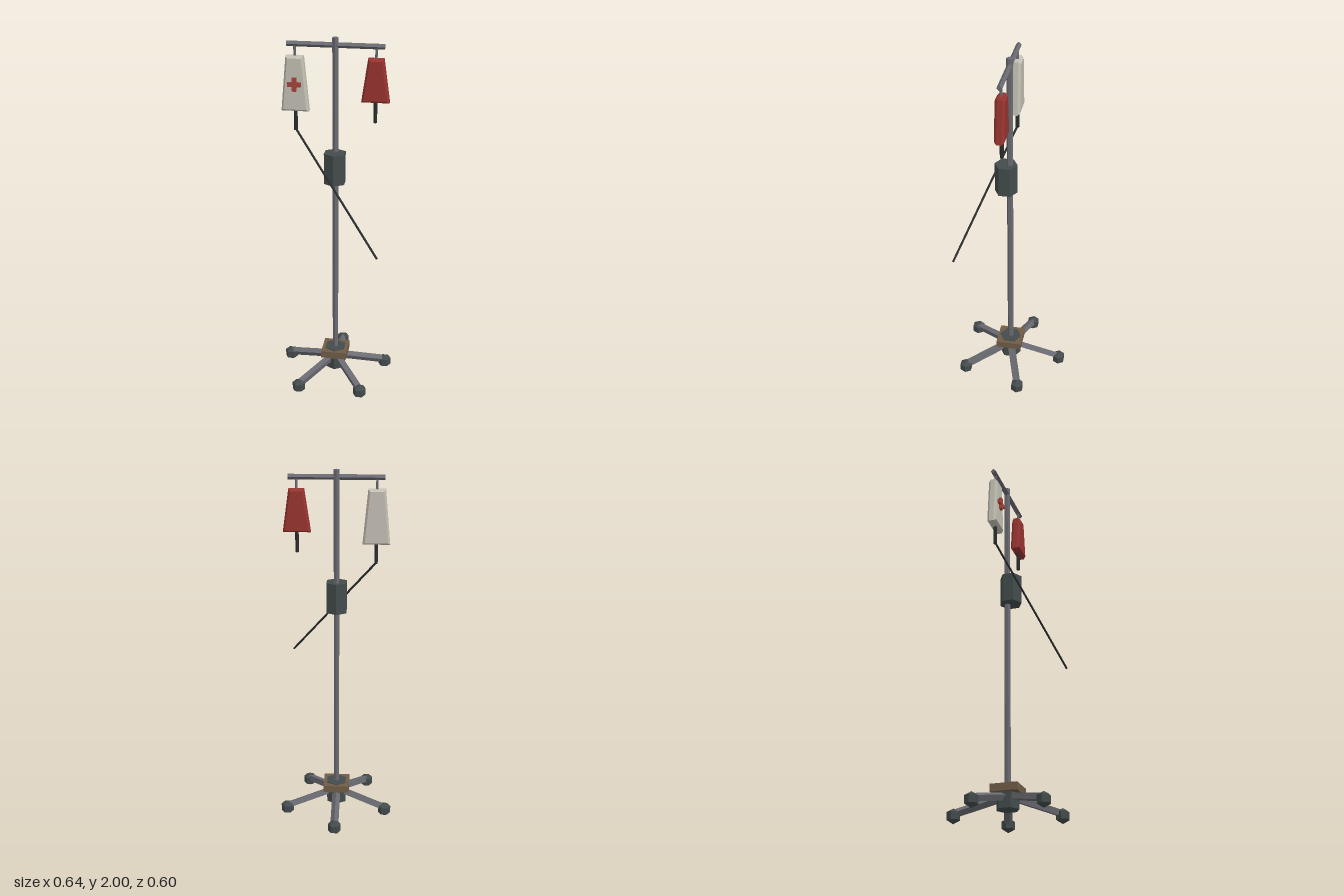
import * as THREE from 'three';

const mat = (name, color) => {
  const m = new THREE.MeshStandardMaterial({ color, flatShading: true });
  m.name = name;
  return m;
};

export function createModel() {
  const metal = mat('grey metal', 0x6a6b72);
  const dark = mat('dark plastic', 0x434b4c);
  const brown = mat('brown plate', 0x705c46);
  const cream = mat('cream bag', 0xc4c0b4);
  const red = mat('red bag', 0x983430);
  const crossRed = mat('cross red', 0xa8443c);
  const rubber = mat('black rubber', 0x2a2e2d);

  const model = new THREE.Group();
  model.name = 'dripStand';
  const Z = 0.027; // depth of the pole axis

  const add = (name, geometry, material, x = 0, y = 0, z = Z) => {
    const mesh = new THREE.Mesh(geometry, material);
    mesh.name = name;
    mesh.position.set(x, y, z);
    model.add(mesh);
    return mesh;
  };

  // Faceted bar between two points
  const bar = (name, a, b, r, sides, material) => {
    const dir = b.clone().sub(a);
    const mid = a.clone().add(b).multiplyScalar(0.5);
    const mesh = add(name, new THREE.CylinderGeometry(r, r, dir.length(), sides), material, mid.x, mid.y, mid.z);
    mesh.quaternion.setFromUnitVectors(new THREE.Vector3(0, 1, 0), dir.normalize());
    return mesh;
  };
  const v = (x, y, z = Z) => new THREE.Vector3(x, y, z);

  // Pole and base
  bar('pole', v(0, 0.1), v(0, 2), 0.017, 6, metal);
  bar('hub', v(0, 0.05), v(0, 0.178), 0.062, 6, dark);
  add('basePlate', new THREE.BoxGeometry(0.147, 0.041, 0.147), brown, 0, 0.1535);

  // Five legs with faceted casters
  for (let i = 0; i < 5; i++) {
    const angle = Math.PI + (i * Math.PI * 2) / 5;
    const x = 0.297 * Math.sin(angle);
    const z = Z + 0.297 * Math.cos(angle);
    bar('leg', v(0, 0.122), v(x, 0.053, z), 0.023, 4, metal);
    add('caster', new THREE.SphereGeometry(0.0415, 6, 3), dark, x, 0.0415, z);
  }

  // Pump box clamped to the pole
  bar('pump', v(0, 1.22, 0.048), v(0, 1.39, 0.048), 0.0625, 6, dark);

  // Crossbar
  bar('crossbar', v(-0.253, 1.961), v(0.253, 1.961), 0.0145, 4, metal);

  // Tapered bag with bevelled edges, hook and outlet
  const bag = (name, x, top, bottom, halfTop, halfBottom, outletEnd, material) => {
    const bevel = 0.011;
    const shape = new THREE.Shape();
    shape.moveTo(-halfBottom + bevel, bottom + bevel);
    shape.lineTo(halfBottom - bevel, bottom + bevel);
    shape.lineTo(halfTop - bevel, top - bevel);
    shape.lineTo(-halfTop + bevel, top - bevel);
    const geometry = new THREE.ExtrudeGeometry(shape, {
      depth: 0.026, bevelEnabled: true, bevelSegments: 1, bevelSize: bevel, bevelThickness: 0.013,
    });
    geometry.translate(0, 0, -0.013);
    add(name, geometry, material, x, 0, Z);
    bar(name + 'Hook', v(x, top - 0.01), v(x, 1.96), 0.007, 6, metal);
    bar(name + 'Outlet', v(x, outletEnd), v(x, bottom + 0.01), 0.0105, 6, rubber);
  };
  bag('clearBag', -0.211, 1.9, 1.607, 0.047, 0.073, 1.5, cream);
  bag('bloodBag', 0.21, 1.9, 1.67, 0.042, 0.073, 1.56, red);

  // Cross on the clear bag, cut from one outline
  const a = 0.036, w = 0.0115;
  const outline = [[-w, -a], [w, -a], [w, -w], [a, -w], [a, w], [w, w],
    [w, a], [-w, a], [-w, w], [-a, w], [-a, -w], [-w, -w]];
  const cross = new THREE.Shape(outline.map(([x, y]) => new THREE.Vector2(x, y)));
  add('cross', new THREE.ExtrudeGeometry(cross, { depth: 0.016, bevelEnabled: false }), crossRed, -0.211, 1.755, 0.052);

  // Hanging drip line
  bar('dripLine', v(-0.211, 1.505), v(0.262, 0.9, 0.292), 0.0062, 5, rubber);

  return model;
}
